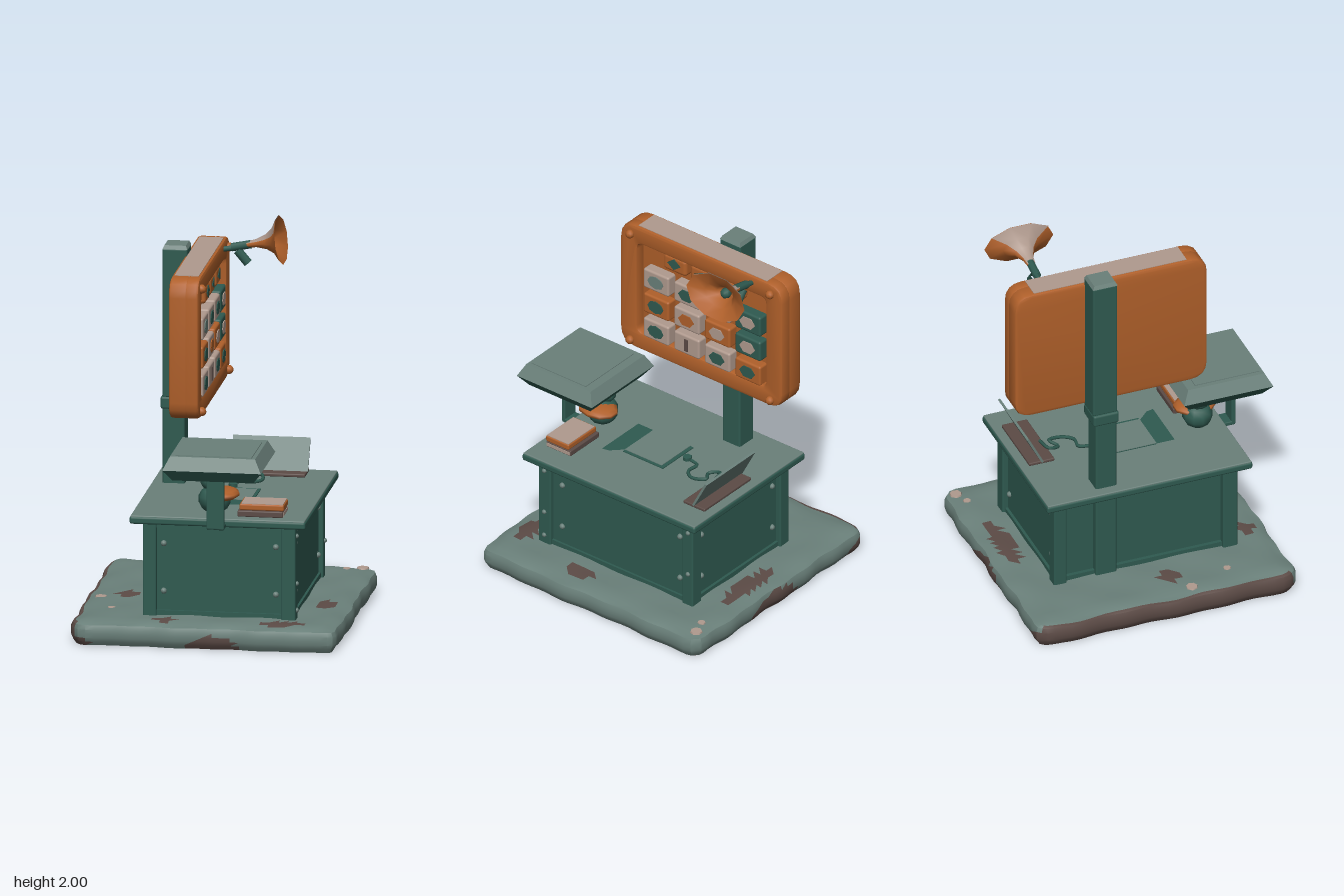
import * as THREE from 'three';
import { toCreasedNormals } from 'three/addons/utils/BufferGeometryUtils.js';
import { RoundedBoxGeometry } from 'three/addons/geometries/RoundedBoxGeometry.js';

const mat = (name, color, side = THREE.FrontSide) => {
  const m = new THREE.MeshStandardMaterial({ color, side });
  m.name = name;
  return m;
};

export function createModel() {
  const root = new THREE.Group();
  root.name = 'signDesk';
  const green = mat('darkGreen', 0x2f5a50, THREE.DoubleSide);
  const grey = mat('greyGreen', 0x6a807a);
  const orange = mat('orange', 0xb0602a, THREE.DoubleSide);
  const pale = mat('palePink', 0xb09a8e, THREE.DoubleSide);
  const brown = mat('brown', 0x5c4b46);

  const add = (name, geo, material, x = 0, y = 0, z = 0, parent = root) => {
    const m = new THREE.Mesh(geo, material);
    m.name = name;
    m.position.set(x, y, z);
    parent.add(m);
    return m;
  };
  // Box given by its minimum and maximum corners
  const box = (name, material, x0, x1, y0, y1, z0, z1, r = 0) => add(name,
    r ? new RoundedBoxGeometry(x1 - x0, y1 - y0, z1 - z0, 2, r) : new THREE.BoxGeometry(x1 - x0, y1 - y0, z1 - z0),
    material, (x0 + x1) / 2, (y0 + y1) / 2, (z0 + z1) / 2);
  // Block whose bottom and top rectangles differ
  const frustum = (w0, d0, w1, d1, h) => {
    const g = new THREE.BoxGeometry(1, h, 1).toNonIndexed(), p = g.attributes.position;
    for (let i = 0; i < p.count; i++) {
      const top = p.getY(i) > 0;
      p.setXYZ(i, p.getX(i) * (top ? w1 : w0), p.getY(i), p.getZ(i) * (top ? d1 : d0));
    }
    g.computeVertexNormals();
    return g;
  };
  const bolt = (x, y, z, r = 0.016, material = grey) =>
    add('bolt', new THREE.SphereGeometry(r, 8, 6), material, x, y, z);

  // Worn stone slab: rounded corners, dented edges, chipped patches
  const slab = new THREE.BoxGeometry(1.4, 0.13, 1.45, 30, 6, 30), sp = slab.attributes.position;
  for (let i = 0; i < sp.count; i++) {
    let x = sp.getX(i), y = sp.getY(i), z = sp.getZ(i);
    const r = 0.09, qx = THREE.MathUtils.clamp(x, -0.7 + r, 0.7 - r), qz = THREE.MathUtils.clamp(z, -0.725 + r, 0.725 - r);
    const dx = x - qx, dz = z - qz, len = Math.hypot(dx, dz), ring = Math.max(Math.abs(dx), Math.abs(dz));
    if (len > 0) {
      const wave = 0.5 + 0.25 * Math.sin(x * 13 + z * 9) + 0.25 * Math.sin(x * 29 - z * 23 + 1);
      const bevel = Math.max(0, Math.abs(y) - 0.03) * 0.7;
      const k = (ring - (bevel + wave * 0.018) * ring / r) / len;
      x = qx + dx * k;
      z = qz + dz * k;
    }
    if (y > 0.06) y -= 0.009 * (0.5 + 0.5 * Math.sin(x * 17) * Math.cos(z * 14)) + (ring / r) * 0.012;
    sp.setXYZ(i, x, y, z - 0.025);
  }
  const slabGeo = toCreasedNormals(slab, 0.5), pos = slabGeo.attributes.position;
  const near = (x, z, list) => list.some(([a, b, rx, rz]) => ((x - a) / rx) ** 2 + ((z - b) / rz) ** 2 < 1);
  const chips = [[-0.48, 0.05, 0.05, 0.06], [0.55, 0.13, 0.05, 0.08], [0.12, -0.62, 0.2, 0.05], [0.4, 0.58, 0.11, 0.05], [-0.22, 0.58, 0.05, 0.05]];
  for (let i = 0; i < pos.count; i += 3) {
    let x = 0, y = 0, z = 0;
    for (let j = i; j < i + 3; j++) { x += pos.getX(j) / 3; y += pos.getY(j) / 3; z += pos.getZ(j) / 3; }
    const side = Math.abs(x) > 0.64 || z > 0.64 || z < -0.69;
    const patch = Math.sin(x * 8 + 1.2) + Math.sin(z * 11 - 1.5);
    const chipped = y < -0.06 || (side && y < 0.04 && patch > 0.7 + y * 12) || (y > 0.04 && near(x, z, chips));
    slabGeo.addGroup(i, 3, chipped ? 1 : 0);
  }
  add('baseSlab', slabGeo, [grey, brown], 0, 0.066, 0);
  for (const [x, z, r] of [[-0.61, 0.13, 0.03], [0.54, -0.65, 0.02], [-0.52, 0.36, 0.02], [0.62, -0.68, 0.03]])
    add('paleChip', new THREE.CylinderGeometry(r, r * 1.1, 0.008, 7), pale, x, 0.126, z);

  // Cabinet: inset panels between corner legs
  box('cabinetBody', green, -0.3, 0.425, 0.11, 0.63, -0.49, 0.46);
  for (const [x0, x1] of [[-0.34, -0.27], [0.375, 0.45]])
    for (const [z0, z1] of [[-0.52, -0.45], [0.41, 0.49]])
      box('cabinetLeg', green, x0, x1, 0.11, 0.63, z0, z1, 0.008);
  for (const y0 of [0.11, 0.585]) {
    box('cabinetRail', green, -0.28, 0.4, y0, y0 + 0.04, -0.505, 0.475);
    box('cabinetRail', green, -0.32, 0.437, y0, y0 + 0.04, -0.47, 0.43);
  }
  for (const y of [0.25, 0.5]) {
    for (const x of [-0.235, 0.345]) { bolt(x, y, 0.462); bolt(x, y, -0.492); }
    for (const z of [0.35, -0.42]) bolt(0.427, y, z);
    for (const z of [0.45, -0.49]) bolt(0.45, y + 0.06, z, 0.013);
  }
  bolt(0.427, 0.57, 0.35);
  bolt(0.45, 0.17, 0.45, 0.013);

  // Desk top with inlaid tray
  box('tableEdge', green, -0.4, 0.51, 0.615, 0.655, -0.58, 0.55, 0.012);
  box('tableTop', grey, -0.395, 0.505, 0.648, 0.66, -0.575, 0.545, 0.005);
  box('trayFrame', green, -0.07, 0.18, 0.655, 0.665, -0.11, 0.15);
  box('trayPlate', grey, -0.07, 0.165, 0.66, 0.668, -0.09, 0.15);
  const apron = new THREE.Shape([[-0.07, 0.25], [0.23, 0.25], [0.22, 0.21], [0.16, 0.15], [-0.07, 0.15]].map(([a, b]) => new THREE.Vector2(a, -b)));
  add('trayApron', new THREE.ShapeGeometry(apron).rotateX(-Math.PI / 2), green, 0, 0.664, 0);

  // Sign post
  box('lowerPost', green, -0.34, -0.225, 0.1, 1.07, -0.29, -0.175, 0.01);
  box('postCollar', green, -0.35, -0.205, 1.05, 1.115, -0.305, -0.165, 0.012);
  box('upperPost', green, -0.34, -0.21, 1.11, 1.895, -0.305, -0.17, 0.01);
  add('postCap', frustum(0.13, 0.135, 0.11, 0.115, 0.02), grey, -0.275, 1.9, -0.2375);

  // Sign board: rounded back with a raised rim around a sunken face
  const roundRect = (w, h, r, T = THREE.Shape) => {
    const s = new T(), a = w / 2, b = h / 2;
    s.moveTo(-a + r, -b).lineTo(a - r, -b).quadraticCurveTo(a, -b, a, -b + r).lineTo(a, b - r).quadraticCurveTo(a, b, a - r, b);
    return s.lineTo(-a + r, b).quadraticCurveTo(-a, b, -a, b - r).lineTo(-a, -b + r).quadraticCurveTo(-a, -b, -a + r, -b);
  };
  const plate = (shape, depth, bevel) => toCreasedNormals(new THREE.ExtrudeGeometry(shape, {
    depth, curveSegments: 4, bevelEnabled: bevel > 0, bevelThickness: bevel, bevelSize: bevel, bevelSegments: 2,
  }).rotateY(Math.PI / 2), 0.7);
  const cy = 1.49, cz = -0.16;
  add('signBack', plate(roundRect(1.03, 0.71, 0.08), 0.07, 0.015), orange, -0.21, cy, cz);
  const rim = roundRect(1.03, 0.71, 0.08);
  rim.holes.push(roundRect(0.87, 0.57, 0.05, THREE.Path));
  add('signRim', plate(rim, 0.045, 0.015), orange, -0.13, cy, cz);
  box('signTopDust', pale, -0.21, -0.085, 1.857, 1.863, -0.58, 0.26);
  for (const z of [0.3, -0.615])
    for (const y of [1.16, 1.805]) bolt(-0.063, y, z, 0.024, orange);

  // Keys with icons
  const icon = (material, x, y, z, r, sides, stretch = 1) => {
    const g = new THREE.CylinderGeometry(r, r, 0.006, sides).rotateZ(Math.PI / 2);
    add('keyIcon', g.scale(1, 1, stretch), material, x, y, z);
  };
  const keys = [
    [[pale, grey], [pale, green], [pale, green], [green, pale]],
    [[orange, green], [pale, orange], [orange, pale], [green, pale]],
    [[pale, green], [pale, brown], [pale, green], [orange, green]],
  ];
  keys.forEach((row, j) => row.forEach(([face, mark], i) => {
    const y = 1.57 - j * 0.15, z = 0.135 - i * 0.2;
    box('key', face, -0.14, -0.068, y - 0.058, y + 0.058, z - 0.083, z + 0.083, 0.012);
    if (mark === brown) box('keyIcon', brown, -0.069, -0.063, y - 0.035, y + 0.035, z - 0.012, z + 0.012);
    else icon(mark, -0.066, y, z, 0.036, i === 0 ? 8 : 6, 1.4);
  }));
  [0.02, -0.155, -0.345].forEach((z, i) => {
    box('topKey', orange, -0.14, -0.075, 1.672, 1.768, z - 0.075, z + 0.075, 0.02);
    icon(green, -0.073, 1.725, z, 0.032, i ? 3 : 4, 1.3);
  });

  // Horn loudspeaker with bracket
  const horn = new THREE.Group();
  horn.name = 'horn';
  horn.position.set(0.05, 1.852, -0.49);
  horn.rotation.z = -1.4;
  root.add(horn);
  const flare = [[0.022, 0], [0.03, 0.05], [0.055, 0.1], [0.1, 0.142], [0.19, 0.178]];
  const flareGeo = (grow, start, length, n) => new THREE.LatheGeometry(
    flare.map(([r, t]) => new THREE.Vector2(r + grow, t - grow)), n, start, length).scale(0.65, 1, 1);
  add('hornBell', flareGeo(0, 0, Math.PI * 2, 10), orange, 0, 0, 0, horn);
  add('hornDust', flareGeo(0.003, Math.PI * 1.2, Math.PI * 0.6, 3), pale, 0, 0, 0, horn);
  add('hornCore', new THREE.SphereGeometry(0.03, 8, 6), green, 0, 0.09, 0, horn);
  const rod = (name, a, b, r, material) => add(name,
    new THREE.TubeGeometry(new THREE.LineCurve3(new THREE.Vector3(...a), new THREE.Vector3(...b)), 1, r, 8), material);
  rod('hornStem', [-0.03, 1.835, -0.49], [0.07, 1.855, -0.49], 0.022, green);
  rod('hornDriver', [0.0, 1.82, -0.49], [0.055, 1.755, -0.49], 0.024, green);
  rod('hornBracket', [-0.1, 1.82, -0.49], [0.0, 1.835, -0.49], 0.014, green);

  // Hooded lamp on a bent flat arm
  add('lampUnderside', frustum(0.42, 0.4, 0.51, 0.49, 0.06), green, 0.055, 0.92, 0.497);
  add('lampHood', frustum(0.51, 0.49, 0.44, 0.42, 0.068), grey, 0.055, 0.984, 0.497);
  box('lampTopPlate', grey, -0.14, 0.255, 1.015, 1.022, 0.335, 0.69);
  box('lampArm', green, 0.01, 0.1, 0.62, 0.9, 0.595, 0.618, 0.005);
  box('lampFoot', green, 0.01, 0.1, 0.615, 0.637, 0.5, 0.615, 0.005);

  // Books and a small seated ornament
  box('lowerBook', brown, 0.15, 0.385, 0.66, 0.692, 0.33, 0.49, 0.006);
  box('bookPages', pale, 0.16, 0.388, 0.667, 0.685, 0.335, 0.485);
  box('upperBook', orange, 0.16, 0.39, 0.695, 0.728, 0.34, 0.49, 0.008);
  box('bookCover', pale, 0.17, 0.385, 0.726, 0.731, 0.345, 0.485);
  const blob = (name, material, x, y, z, sx, sy, sz) =>
    add(name, new THREE.SphereGeometry(1, 10, 7).scale(sx, sy, sz), material, x, y, z);
  blob('ornamentBody', green, 0.02, 0.73, 0.41, 0.085, 0.075, 0.08);
  blob('ornamentCollar', orange, 0.06, 0.76, 0.41, 0.09, 0.033, 0.115);
  blob('ornamentHead', green, 0.0, 0.825, 0.41, 0.055, 0.048, 0.06);
  blob('ornamentBand', orange, 0.02, 0.83, 0.41, 0.06, 0.022, 0.055);

  // Folding screen with brown base, cord and plug
  box('screenBase', brown, -0.02, 0.365, 0.66, 0.678, -0.53, -0.39, 0.006);
  const screen = box('screen', grey, -0.03, 0.37, 0.665, 0.845, -0.506, -0.494);
  screen.rotation.x = -0.48;
  const cord = [[0.14, 0.69, -0.41], [0.06, 0.69, -0.39], [0.08, 0.675, -0.33], [0.14, 0.68, -0.36], [0.16, 0.668, -0.28], [0.12, 0.668, -0.23], [0.05, 0.668, -0.23], [0.035, 0.668, -0.18]];
  add('cord', new THREE.TubeGeometry(new THREE.CatmullRomCurve3(cord.map(p => new THREE.Vector3(...p))), 40, 0.009, 6), green);
  add('plug', new THREE.CylinderGeometry(0.025, 0.025, 0.02, 6), green, 0.03, 0.668, -0.15);
  return root;
}
